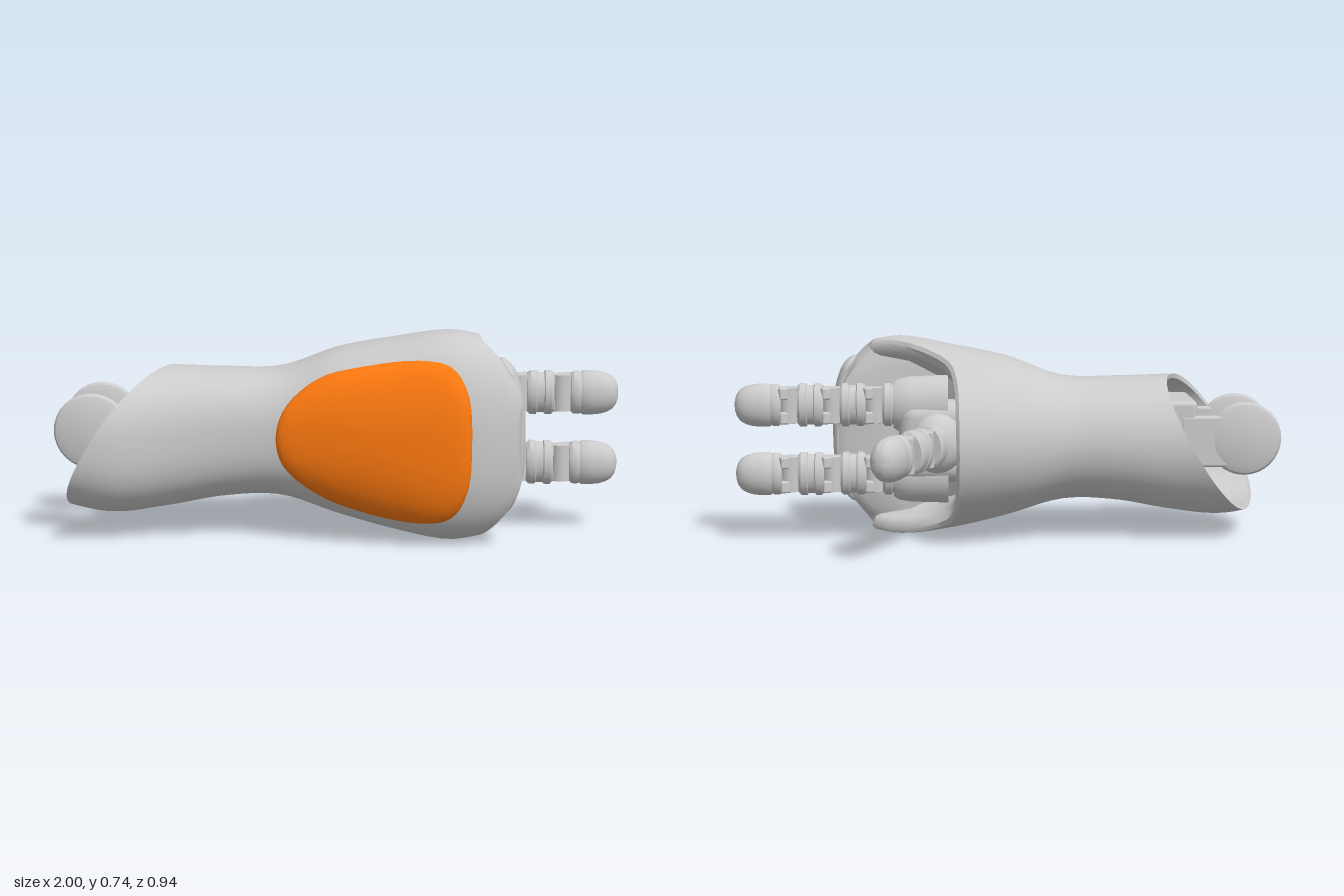
import * as THREE from 'three';
import { toCreasedNormals } from 'three/addons/utils/BufferGeometryUtils.js';
import { RoundedBoxGeometry } from 'three/addons/geometries/RoundedBoxGeometry.js';

const grey = new THREE.MeshStandardMaterial({ color: 0xcccccc, side: THREE.DoubleSide });
const orange = new THREE.MeshStandardMaterial({ color: 0xff7a10, side: THREE.DoubleSide });
const { lerp } = THREE.MathUtils;

function add(parent, name, geometry, x = 0, y = 0, z = 0, material = grey) {
  const mesh = new THREE.Mesh(geometry, material);
  mesh.name = name;
  mesh.position.set(x, y, z);
  parent.add(mesh);
  return mesh;
}

// Surface from rows of points, each row closed around
function skin(rows, crease = 0.7) {
  const n = rows[0].length, pos = rows.flat(2), index = [];
  for (let i = 0; i < rows.length - 1; i++) {
    for (let j = 0; j < n; j++) {
      const a = i * n + j, b = i * n + (j + 1) % n;
      index.push(a, a + n, b + n, a, b + n, b);
    }
  }
  const g = new THREE.BufferGeometry();
  g.setAttribute('position', new THREE.Float32BufferAttribute(pos, 3));
  g.setIndex(index);
  return toCreasedNormals(g, crease);
}

// Sleeve cross-sections by x: bottom, top, back, front, and z of the widest line
const stations = [-1, -0.8, -0.6, -0.4, -0.2, 0, 0.2, 0.4, 0.5, 0.64];
const sections = [
  0.12, 0.59, -0.13, 0.41, 0.13,
  0.08, 0.60, -0.14, 0.42, 0.13,
  0.10, 0.60, -0.11, 0.365, 0.12,
  0.135, 0.595, -0.10, 0.34, 0.12,
  0.14, 0.60, -0.105, 0.345, 0.12,
  0.08, 0.67, -0.18, 0.385, 0.14,
  0.03, 0.71, -0.225, 0.415, 0.17,
  0.00, 0.74, -0.22, 0.43, 0.21,
  0.015, 0.725, -0.21, 0.425, 0.21,
  0.05, 0.69, -0.20, 0.39, 0.21];
const interpolant = new THREE.CubicInterpolant(stations, sections, 5);
const POWER = 2.5;

function sectionAt(x) {
  const [bottom, top, back, front, zc] = Array.from(interpolant.evaluate(x));
  return { yc: (top + bottom) / 2, h: (top - bottom) / 2, back, front, zc };
}

function sleevePoint(x, a) {
  const s = sectionAt(x), c = Math.cos(a), n = Math.sin(a);
  const k = c > 0 ? 2 / POWER : 1;
  const y = s.yc + s.h * Math.sign(n) * Math.abs(n) ** k;
  const z = s.zc + (c > 0 ? (s.front - s.zc) * c ** k : (s.zc - s.back) * c);
  return [x, y, z];
}

// Slanted cuff edge at the elbow end
function cuffX(a) {
  let x = -0.8;
  for (let i = 0; i < 6; i++) {
    const [, y, z] = sleevePoint(x, a);
    x = -0.92 + 0.6 * y - 0.35 * z;
  }
  return x;
}

// Scooped edge around the palm, running out to the knuckle guard
const scoop = new THREE.CubicInterpolant(
  [-0.22, -0.1, -0.02, 0.05, 0.13, 0.22, 0.3, 0.43],
  [0.18, 0.19, 0.22, 0.3, 0.42, 0.59, 0.64, 0.62], 1);
function handX(a) {
  let x = 0.4;
  for (let i = 0; i < 16; i++) {
    const [, y, z] = sleevePoint(x, a);
    const end = 0.64 - 0.14 * (Math.abs(y - 0.37) / 0.35) ** 3;
    x = lerp(x, Math.min(scoop.evaluate(z)[0], end), 0.5);
  }
  return x;
}

function sleeveGeometry() {
  const COLS = 72, ROWS = 34, rows = [];
  const angles = Array.from({ length: COLS }, (_, j) => (j / COLS) * Math.PI * 2);
  const ring = (fn) => rows.push(angles.map(fn));
  const inside = (x, a, k) => {
    const [, y, z] = sleevePoint(x, a);
    return [x, lerp(0.36, y, k), lerp(0.12, z, k)];
  };
  // Elbow socket
  ring(() => [-0.52, 0.36, 0.12]);
  ring((a) => inside(-0.52, a, 0.9));
  for (const t of [0.35, 0.7, 0.97]) ring((a) => inside(lerp(-0.52, cuffX(a), t), a, 0.93));
  // Outer wall
  for (let i = 0; i <= ROWS; i++) {
    ring((a) => sleevePoint(lerp(cuffX(a), handX(a), i / ROWS), a));
  }
  // Rolled lip and palm cavity
  const lip = (a, k, zMax, depth) => {
    const x = handX(a), [, y, z] = sleevePoint(x, a);
    return [lerp(x, 0.2, depth), lerp(0.37, y, k), Math.min(zMax, lerp(0.12, z, k))];
  };
  ring((a) => {
    const p = lip(a, 0.96, 0.37, 0);
    return [p[0] + 0.012, p[1], p[2]];
  });
  ring((a) => lip(a, 0.88, 0.22, 0));
  ring((a) => lip(a, 0.85, 0.2, 0.08));
  ring((a) => lip(a, 0.79, 0.19, 0.45));
  ring((a) => {
    const p = lip(a, 0.62, 0.17, 0.75);
    return [p[0] - 0.03, p[1], p[2]];
  });
  ring(() => [0.2, 0.37, 0.05]);
  return skin(rows);
}

// Padded plate following the back of the hand
function plateGeometry() {
  const outline = new THREE.CatmullRomCurve3([
    [-0.21, 0.37], [-0.18, 0.27], [-0.06, 0.17], [0.1, 0.11], [0.3, 0.08], [0.4, 0.105], [0.455, 0.2],
    [0.47, 0.38], [0.455, 0.55], [0.4, 0.635], [0.3, 0.655], [0.1, 0.63], [-0.06, 0.585], [-0.18, 0.48],
  ].map(([x, y]) => new THREE.Vector3(x, y, 0)), true).getPoints(64).slice(0, 64);
  const layers = [[0, 0.024], [0.25, 0.024], [0.5, 0.024], [0.7, 0.024], [0.85, 0.023], [0.93, 0.02],
    [0.97, 0.014], [0.99, 0.006], [1, -0.004], [0.98, -0.02]];
  return skin(layers.map(([r, lift]) => outline.map((p) => {
    const x = lerp(0.13, p.x, r), y = lerp(0.37, p.y, r), s = sectionAt(x);
    const t = Math.min(1, Math.abs(y - s.yc) / s.h);
    return [x, y, s.zc + (s.front - s.zc) * (1 - t ** POWER) ** (1 / POWER) + lift];
  })), 1.2);
}

function lathe(points, flat = 1) {
  const g = new THREE.LatheGeometry(points.map(([r, y]) => new THREE.Vector2(r, y)), 32);
  g.scale(1, 1, flat);
  return toCreasedNormals(g, 0.6);
}

// Finger along its own +y: ringed phalanges, hinged joints and a rounded tip
function finger(name, phalanges, base, direction) {
  const g = new THREE.Group(), FLAT = 0.72, JOINT = 0.06, LINK = 0.095;
  g.name = name;
  let y = 0;
  for (let i = 0; i < phalanges; i++) {
    add(g, 'phalanx', lathe([[0, 0], [0.07, 0], [0.08, 0.012], [0.08, 0.032], [0.073, 0.036],
      [0.073, 0.06], [0.08, 0.064], [0.08, 0.086], [0.07, LINK], [0, LINK]], FLAT), 0, y);
    y += LINK;
    add(g, 'hinge', new THREE.CylinderGeometry(0.036, 0.036, 0.13, 20), 0, y + JOINT / 2).rotation.z = Math.PI / 2;
    for (const side of [-1, 1]) {
      const strut = add(g, 'strut', new RoundedBoxGeometry(0.045, JOINT + 0.03, 0.04, 2, 0.008), side * 0.045, y + JOINT / 2, 0.012);
      strut.rotation.x = 0.5;
    }
    y += JOINT;
  }
  add(g, 'fingertip', lathe([[0, 0], [0.068, 0], [0.077, 0.01], [0.078, 0.03], [0.074, 0.036], [0.08, 0.045],
    [0.08, 0.075], [0.077, 0.105], [0.07, 0.13], [0.058, 0.15], [0.04, 0.163], [0.02, 0.169], [0, 0.17]], FLAT), 0, y);
  const across = new THREE.Vector3(0, 1, 0), along = new THREE.Vector3(...direction).normalize();
  g.quaternion.setFromRotationMatrix(new THREE.Matrix4().makeBasis(across, along, across.clone().cross(along)));
  g.position.set(...base);
  return g;
}

function ellipsoid(rx, ry, rz) {
  return new THREE.SphereGeometry(1, 32, 20).scale(rx, ry, rz);
}

export function createModel() {
  const model = new THREE.Group();
  model.name = 'forearm';
  add(model, 'sleeve', sleeveGeometry());
  add(model, 'backPlate', plateGeometry(), 0, 0, 0, orange);

  // Narrow pad on the knuckle end of the sleeve, bowed to fit
  const pad = new THREE.CapsuleGeometry(0.055, 0.45, 8, 24, 12).scale(0.45, 1, 1);
  const p = pad.attributes.position;
  for (let i = 0; i < p.count; i++) {
    const t = Math.abs(p.getY(i)) / 0.35;
    p.setX(i, p.getX(i) - 0.12 * t ** 3);
    p.setZ(i, p.getZ(i) - 0.03 * t * t);
  }
  pad.computeVertexNormals();
  add(model, 'knucklePad', pad, 0.632, 0.38, 0.32);

  // Palm with knuckle mounts
  const hand = new THREE.Group();
  hand.name = 'hand';
  model.add(hand);
  add(hand, 'palm', new RoundedBoxGeometry(0.26, 0.3, 0.15, 4, 0.06), 0.27, 0.37, 0.04);
  for (const y of [0.245, 0.5]) {
    const mount = add(hand, 'knuckleMount', lathe([[0.11, -0.2], [0.105, -0.06], [0.098, -0.02], [0.085, 0], [0, 0]], 0.8), 0.42, y, 0.06);
    mount.rotation.set(0, 0, -Math.PI / 2);
    hand.add(finger('finger', 3 - 0.5 > 2 ? 3 : 2, [0.365, y, 0.068], [1, 0, 0]));
  }
  add(hand, 'thumbMount', ellipsoid(0.1, 0.11, 0.08), 0.26, 0.37, -0.03);
  hand.add(finger('thumb', 2, [0.25, 0.37, -0.045], [0.44, 0, -0.9]));

  // Elbow bracket with two round hinge plates
  const elbow = new THREE.Group();
  elbow.name = 'elbow';
  model.add(elbow);
  add(elbow, 'bracket', new RoundedBoxGeometry(0.18, 0.32, 0.29, 3, 0.02), -0.6, 0.36, 0.11);
  for (const z of [-0.02, 0.245]) {
    const disc = add(elbow, 'hingePlate', lathe([[0, -0.022], [0.1, -0.022], [0.127, -0.012], [0.135, 0],
      [0.127, 0.012], [0.1, 0.022], [0, 0.022]]), -0.865, 0.38, z);
    disc.rotation.x = Math.PI / 2;
    add(elbow, 'hingeArm', new RoundedBoxGeometry(0.24, 0.19, 0.034, 3, 0.012), -0.75, 0.37, z);
  }
  return model;
}
